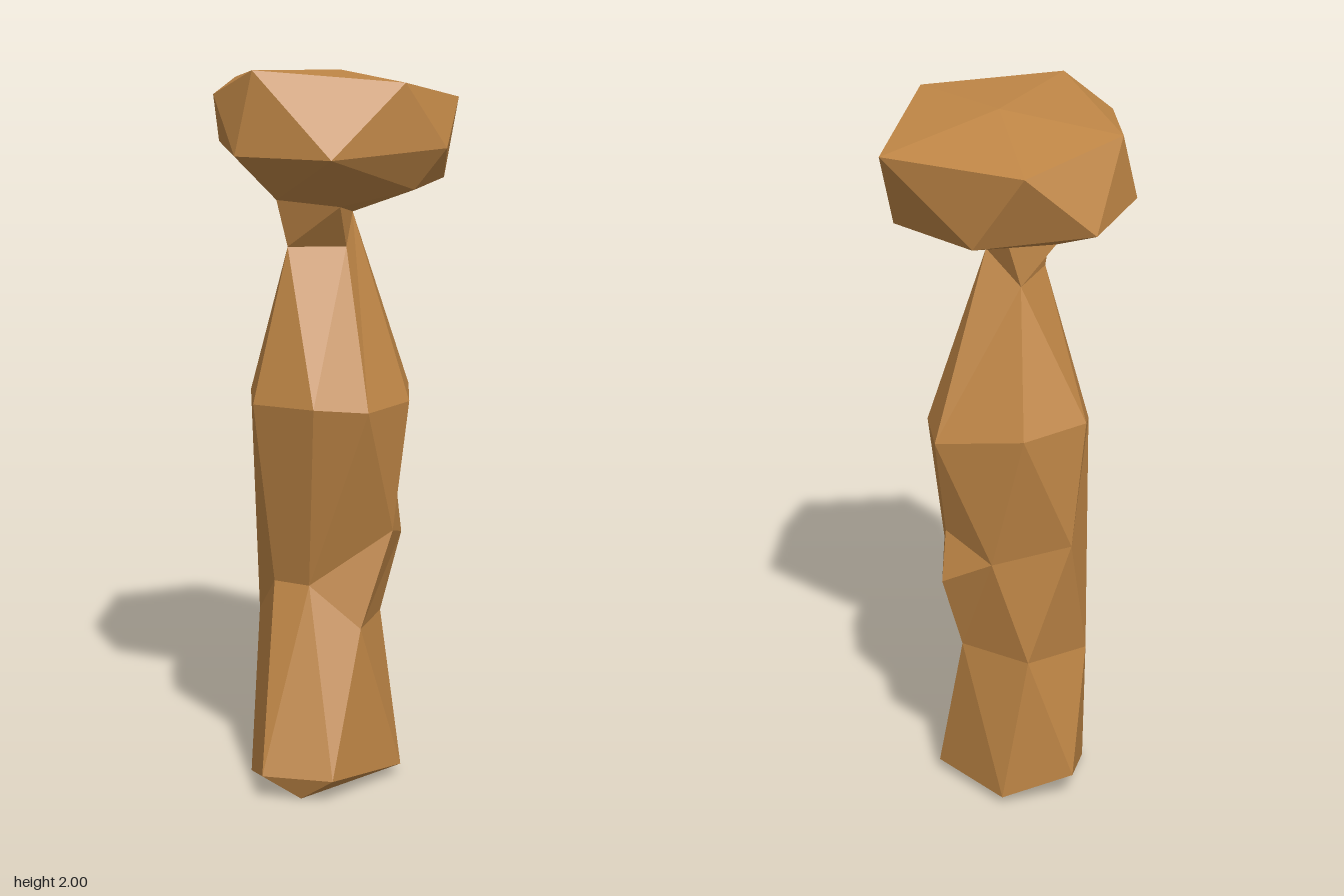
import * as THREE from 'three';
import { ConvexGeometry } from 'three/addons/geometries/ConvexGeometry.js';

// Closed stone loft: rings run from bottom to top, points from left via front to right and back.
// Neighbouring slots may share one point, which drops the collapsed triangles.
// flips[r] lists the slots of layer r whose quad is split along the other diagonal.
function loftRings(rings, base, flips) {
  const pos = [];
  const tri = (a, b, c) => {
    if (a !== b && b !== c && c !== a) pos.push(...a, ...b, ...c);
  };
  const n = rings[0].length;
  for (let i = 0; i < n; i++) {
    const j = (i + 1) % n;
    tri(rings[0][j], rings[0][i], base);
    for (let r = 0; r < rings.length - 1; r++) {
      const lo = rings[r], hi = rings[r + 1];
      const flip = flips[r] && flips[r].includes(i);
      tri(lo[i], lo[j], flip ? hi[i] : hi[j]);
      tri(flip ? lo[j] : lo[i], hi[j], hi[i]);
    }
  }
  const geo = new THREE.BufferGeometry();
  geo.setAttribute('position', new THREE.Float32BufferAttribute(pos, 3));
  geo.computeVertexNormals();
  return geo;
}

export function createModel() {
  const group = new THREE.Group();
  group.name = 'balancedRock';
  const sandstone = new THREE.MeshStandardMaterial({ color: 0xbf8646, flatShading: true });
  sandstone.name = 'sandstone';

  // Foot
  const footLeft = [-0.285, 0.07, 0.08], footFront = [-0.142, 0.065, 0.215];
  const foot = [footLeft, footLeft, footFront, footFront, [0.15, 0.03, 0.13],
    [0.15, 0.022, -0.14], [-0.015, 0.08, -0.257], [-0.2, 0.01, -0.11]];

  // Waist
  const waistLeft = [-0.157, 0.58, -0.05], waistFront = [-0.108, 0.58, 0.05], waistBack = [-0.1, 0.45, -0.217];
  const waist = [waistLeft, waistFront, waistFront, [0, 0.46, 0.145], [0.155, 0.46, 0.02],
    [0.095, 0.455, -0.187], waistBack, waistBack];

  // Ledge on one side with a notch just above it
  const notchFront = [0.1, 0.73, 0.155], notchSide = [0.17, 0.76, -0.12], notchBack = [0, 0.81, -0.257];
  const notchRing = (side) =>
    [waistLeft, waistFront, waistFront, notchFront, side, notchSide, notchBack, waistBack];
  const ledge = notchRing([0.228, 0.68, 0.02]);
  const notch = notchRing([0.195, 0.82, 0.04]);

  // Belly
  const belly = [[-0.255, 1.1, 0], [-0.18, 1.105, 0.18], [-0.04, 1.09, 0.235], [0.135, 1.095, 0.18],
    [0.257, 1.105, 0.01], [0.15, 1.15, -0.225], [-0.05, 1.16, -0.257], [-0.17, 1.11, -0.145]];

  // Thin throat and the neck flaring into the cap
  const throatLeft = [-0.145, 1.52, 0.005], throatFront = [-0.012, 1.52, 0.09];
  const throatBack = [0.03, 1.52, -0.085], neckSide = [0.05, 1.605, 0.03];
  const throat = [throatLeft, throatLeft, throatFront, neckSide, neckSide,
    throatBack, throatBack, throatLeft];
  const neckLeft = [-0.19, 1.65, 0.02], neckFront = [-0.07, 1.635, 0.145];
  const neckRight = [0.055, 1.63, -0.065], neckBack = [-0.055, 1.63, -0.13];
  const neckTop = [neckLeft, neckLeft, neckFront, neckSide, neckSide, neckRight, neckBack, neckLeft];

  const pillar = new THREE.Mesh(
    loftRings([foot, waist, ledge, notch, belly, throat, neckTop], [-0.19, 0, 0.13],
      { 0: [3, 4, 5], 3: [2, 4, 5] }), sandstone);
  pillar.name = 'pillar';
  group.add(pillar);

  // Faceted cap stone: top corners, rim, underside and the neck joint
  const corners = [
    [-0.03, 1.97, 0.38], [-0.34, 2, 0.14], [0.03, 1.985, 0], [-0.34, 1.93, -0.05], [-0.1, 1.955, -0.325],
    [0.37, 1.905, 0.08], [0.23, 1.9, -0.31], [0.09, 1.8, 0.397], [-0.235, 1.78, 0.345],
    [-0.37, 1.78, 0.1], [-0.155, 1.78, -0.325], [0.065, 1.74, -0.4],
    [0.265, 1.69, -0.155], [0.272, 1.695, 0.145], [0.04, 1.69, 0.325],
    neckLeft, neckFront, neckSide, neckRight, neckBack,
  ];
  const cap = new THREE.Mesh(
    new ConvexGeometry(corners.map((c) => new THREE.Vector3(...c))), sandstone);
  cap.name = 'capStone';
  group.add(cap);

  return group;
}
